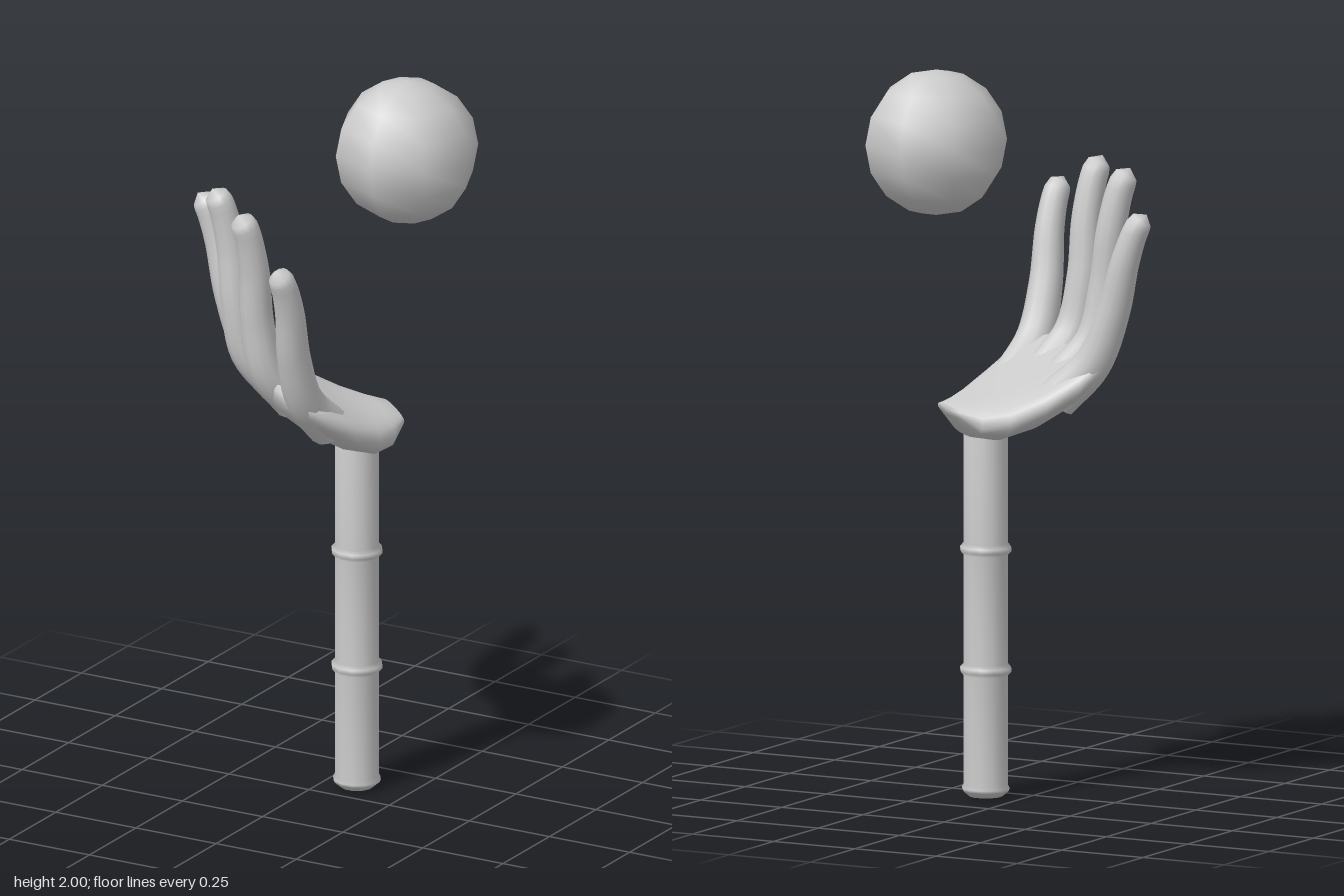
import * as THREE from 'three';
import { mergeVertices } from 'three/addons/utils/BufferGeometryUtils.js';

const material = new THREE.MeshStandardMaterial({ color: 0xcccccc, side: THREE.DoubleSide });

function addMesh(parent, name, geometry) {
  const mesh = new THREE.Mesh(geometry, material);
  mesh.name = name;
  parent.add(mesh);
  return mesh;
}

// Weld seams so that normals run smoothly round the form
function smooth(geometry) {
  geometry.deleteAttribute('uv');
  geometry.deleteAttribute('normal');
  const welded = mergeVertices(geometry, 1e-5);
  welded.computeVertexNormals();
  return welded;
}

// Tapered tube with a rounded tip
function fingerGeometry(points, baseRadius, tipRadius) {
  const curve = new THREE.CatmullRomCurve3(points.map((p) => new THREE.Vector3(...p)));
  const rings = 28, sides = 12;
  const geometry = new THREE.TubeGeometry(curve, rings, 1, sides);
  const pos = geometry.attributes.position;
  const v = new THREE.Vector3();
  for (let i = 0; i < pos.count; i++) {
    const t = Math.floor(i / (sides + 1)) / rings;
    const end = Math.max(0, (t - 0.93) / 0.07);
    const r = THREE.MathUtils.lerp(baseRadius, tipRadius, t) * Math.sqrt(Math.max(0, 1 - end * end));
    const centre = curve.getPointAt(t);
    v.fromBufferAttribute(pos, i).sub(centre).multiplyScalar(r).add(centre);
    pos.setXYZ(i, v.x, v.y, v.z);
  }
  return smooth(geometry);
}

// Cupped palm lofted from heel to finger roots: [z, half width, centre y, half thickness, cup]
function palmGeometry() {
  const sections = [
    [-0.108, 0, 1.065, 0, 0],
    [-0.105, 0.09, 1.065, 0.014, 0],
    [-0.06, 0.145, 1.044, 0.05, 0],
    [0, 0.205, 1.046, 0.062, 0.01],
    [0.085, 0.255, 1.075, 0.066, 0.025],
    [0.17, 0.285, 1.125, 0.066, 0.03],
    [0.23, 0.28, 1.165, 0.055, 0.03],
    [0.27, 0.245, 1.19, 0.034, 0.02],
    [0.285, 0, 1.2, 0, 0],
  ];
  const sides = 24;
  const positions = [], index = [];
  const soft = (n) => Math.sign(n) * Math.abs(n) ** 0.85;
  sections.forEach(([z, w, y, t, cup], i) => {
    for (let j = 0; j < sides; j++) {
      const a = (j / sides) * Math.PI * 2;
      const c = soft(Math.cos(a));
      positions.push(w * c, y + t * soft(Math.sin(a)) + cup * c * c, z);
      if (i === sections.length - 1) continue;
      const p = i * sides + j, q = i * sides + ((j + 1) % sides);
      index.push(p, q, p + sides, q, q + sides, p + sides);
    }
  });
  const geometry = new THREE.BufferGeometry();
  geometry.setAttribute('position', new THREE.Float32BufferAttribute(positions, 3));
  geometry.setIndex(index);
  return smooth(geometry);
}

export function createModel() {
  const model = new THREE.Group();
  model.name = 'handSculpture';

  // Hand and stem share a frame turned towards the front left corner
  const hand = new THREE.Group();
  hand.name = 'handOnStem';
  hand.position.set(0.1, 0, -0.085);
  hand.rotation.y = -0.728;
  model.add(hand);

  // Jointed stem with a raised ring at each joint
  const profile = [[0, 0], [0.045, 0.003], [0.063, 0.018], [0.066, 0.026], [0.061, 0.036]];
  for (const y of [0.35, 0.68]) {
    profile.push([0.061, y - 0.016], [0.07, y - 0.006], [0.07, y + 0.006], [0.061, y + 0.016]);
  }
  profile.push([0.061, 1.03], [0, 1.04]);
  addMesh(hand, 'stem', smooth(new THREE.LatheGeometry(profile.map((p) => new THREE.Vector2(...p)), 12)));

  addMesh(hand, 'palm', palmGeometry());

  // Two mirrored pairs of fingers
  const outer = [[0.18, 1.11, 0.14], [0.232, 1.21, 0.224], [0.272, 1.35, 0.268], [0.306, 1.5, 0.292],
    [0.325, 1.59, 0.318], [0.335, 1.627, 0.342]];
  const inner = [[0.07, 1.15, 0.2], [0.084, 1.25, 0.28], [0.088, 1.4, 0.312], [0.1, 1.55, 0.324],
    [0.108, 1.67, 0.35], [0.112, 1.718, 0.374]];
  for (const side of [1, -1]) {
    const mirror = (pts) => pts.map(([x, y, z]) => [x * side, y, z]);
    const label = side > 0 ? 'left' : 'right';
    addMesh(hand, label + 'OuterFinger', fingerGeometry(mirror(outer), 0.058, 0.034));
    addMesh(hand, label + 'InnerFinger', fingerGeometry(mirror(inner), 0.055, 0.036));
  }

  // Floating ball
  const ball = addMesh(model, 'ball', smooth(new THREE.SphereGeometry(0.199, 8, 8)));
  ball.position.set(0.186, 1.802, -0.206);
  return model;
}
